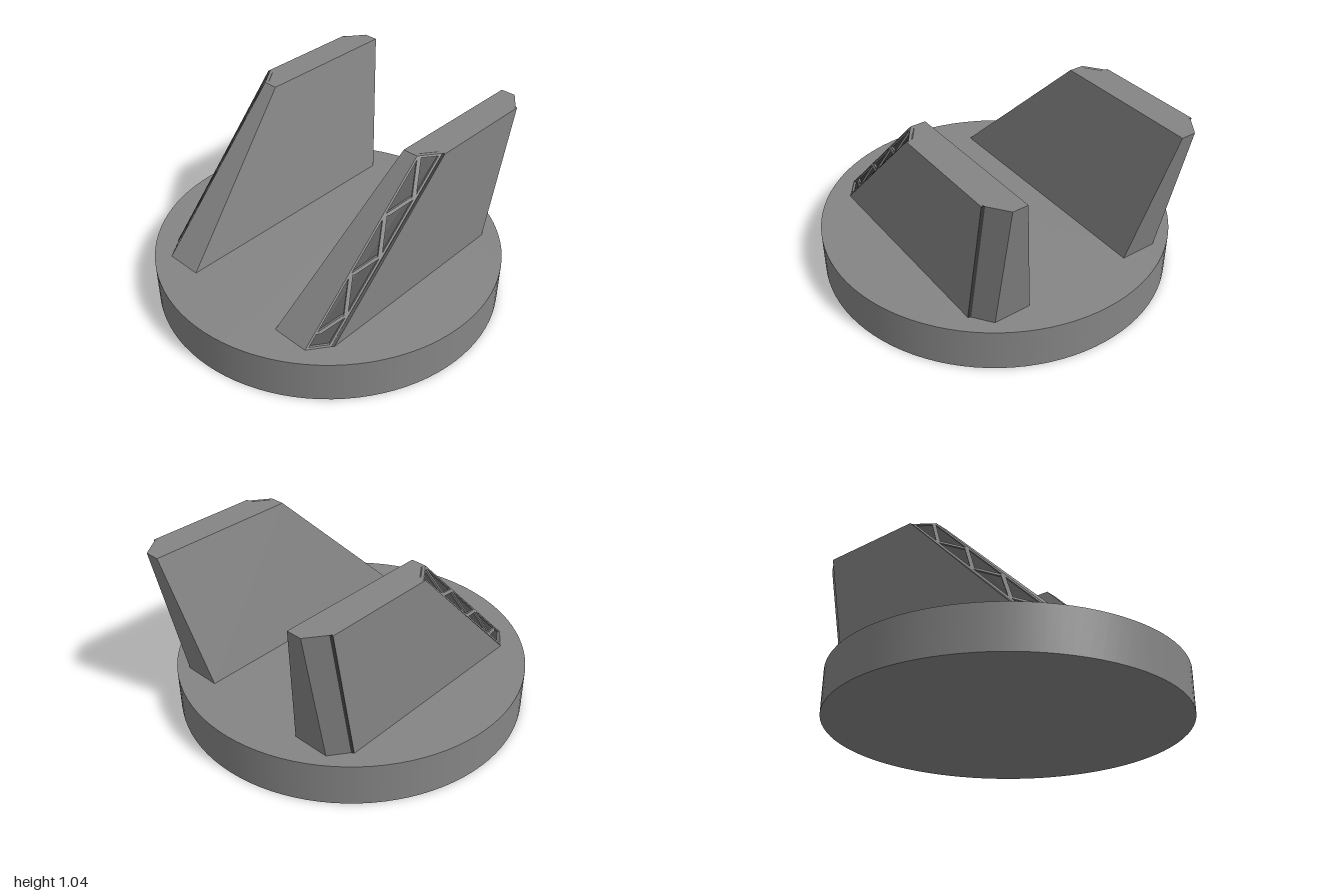
import * as THREE from 'three';

const Y0 = 0.247, Y1 = 1.045, DEPTH = 0.012;
const grey = new THREE.MeshStandardMaterial({ color: 0x858585, flatShading: true });
const dark = new THREE.MeshStandardMaterial({ color: 0x424242, flatShading: true });
const smooth = new THREE.MeshStandardMaterial({ color: 0x858585 });
const { lerp, clamp } = THREE.MathUtils;

// Closed solid between two horizontal [x, z] outlines; side = -1 mirrors it across z
function loft(low, high, y0, y1, side) {
  const a = low.map(([x, z]) => new THREE.Vector2(x, -z * side));
  const b = high.map(([x, z]) => new THREE.Vector2(x, -z * side));
  if (THREE.ShapeUtils.area(a) < 0) { a.reverse(); b.reverse(); }
  const out = [], n = a.length;
  const lo = i => out.push(a[i].x, y0, -a[i].y);
  const hi = i => out.push(b[i].x, y1, -b[i].y);
  for (let i = 0; i < n; i++) {
    const j = (i + 1) % n;
    lo(i); lo(j); hi(j);
    lo(i); hi(j); hi(i);
  }
  for (const [i, j, k] of THREE.ShapeUtils.triangulateShape(a, [])) { lo(k); lo(j); lo(i); }
  for (const [i, j, k] of THREE.ShapeUtils.triangulateShape(b, [])) { hi(i); hi(j); hi(k); }
  const geo = new THREE.BufferGeometry();
  geo.setAttribute('position', new THREE.Float32BufferAttribute(out, 3));
  geo.computeVertexNormals();
  return geo;
}

// Point on the leading chamfer at height t (0..1), across v (0 inner .. 1 outer), sunk by d
function chamfer(t, v, d = 0) {
  return [
    lerp(-0.73, 0.06, t) + 0.108 * v + 0.6 * d,
    lerp(0.535, 0.555, t) + 0.077 * v - 0.8 * d,
  ];
}

// Dark seam strips beside the outer face, as triangles at height t
function rearSeam(t) {
  const x = lerp(0.65, 0.81, t), z = lerp(0.625, 0.645, t);
  return [[x + 0.008, z - 0.015], [x - 0.01, z - 0.015], [x, z]];
}
function leadSeam(t) {
  const x = lerp(-0.61, 0.17, t), z = lerp(0.625, 0.645, t);
  return [[x, z], [x + 0.012, z - 0.013], chamfer(t, 1)];
}

// Dark floor of the channel in the leading chamfer
function channelFloor(t) {
  return [
    chamfer(t, 0.9, DEPTH), chamfer(t, 0.9, DEPTH + 0.01),
    chamfer(t, 0.1, DEPTH + 0.01), chamfer(t, 0.1, DEPTH),
  ];
}

// Horizontal outline of a fin at height t, cut out for the seams and the channel
function section(t) {
  const inZ = lerp(0.32, 0.47, t), outZ = lerp(0.625, 0.645, t);
  const rear = lerp(0.76, 0.92, t), lead = lerp(-0.73, 0.06, t);
  return [
    [lead, inZ], [rear, inZ], [rear, outZ - 0.09],
    ...rearSeam(t), ...leadSeam(t),
    chamfer(t, 0.9), ...channelFloor(t).slice(1, 3), chamfer(t, 0.1),
    chamfer(t, 0),
  ];
}

// Lattice bar in the channel, between [t, v] points, with half-width w across the chamfer
function bar([t0, v0], [t1, v1], w) {
  const ring = (t, v) => {
    const p = clamp(v - w, 0, 1), q = clamp(v + w, 0, 1);
    return [chamfer(t, p), chamfer(t, q), chamfer(t, q, DEPTH + 0.003), chamfer(t, p, DEPTH + 0.003)];
  };
  return [ring(t0, v0), ring(t1, v1), lerp(Y0, Y1, t0), lerp(Y0, Y1, t1)];
}

function fin(side) {
  const group = new THREE.Group();
  group.name = side > 0 ? 'frontFin' : 'backFin';
  const add = (name, material, solid) => {
    const mesh = new THREE.Mesh(loft(...solid, side), material);
    mesh.name = name;
    group.add(mesh);
  };
  const fullHeight = outline => [outline(0), outline(1), Y0, Y1];
  add('finBody', grey, fullHeight(section));
  add('rearSeam', dark, fullHeight(rearSeam));
  add('leadSeam', dark, fullHeight(leadSeam));
  add('channelFloor', dark, fullHeight(channelFloor));

  // Zigzag bracing, its triangles square to the sloping edge
  const pitch = 0.305;
  for (let i = 0; i < 3; i++) {
    const t = 0.08 + i * pitch, outer = [t + 0.084, 0.88];
    add('latticeBar', grey, bar([t, 0.12], outer, 0.16));
    add('latticeBar', grey, bar(outer, [t + pitch, 0.12], 0.08));
  }
  // Thin closing bars at the ends
  for (const t of [0, 0.988]) add('endBar', grey, bar([t, 0.5], [t + 0.012, 0.5], 0.42));
  return group;
}

export function createModel() {
  const model = new THREE.Group();
  model.name = 'finnedBase';

  // Round plinth
  const base = new THREE.Mesh(new THREE.CylinderGeometry(1, 1, Y0, 96), smooth);
  base.name = 'base';
  base.position.y = Y0 / 2;
  model.add(base);

  // Two mirrored swept fins
  for (const side of [1, -1]) model.add(fin(side));
  return model;
}
